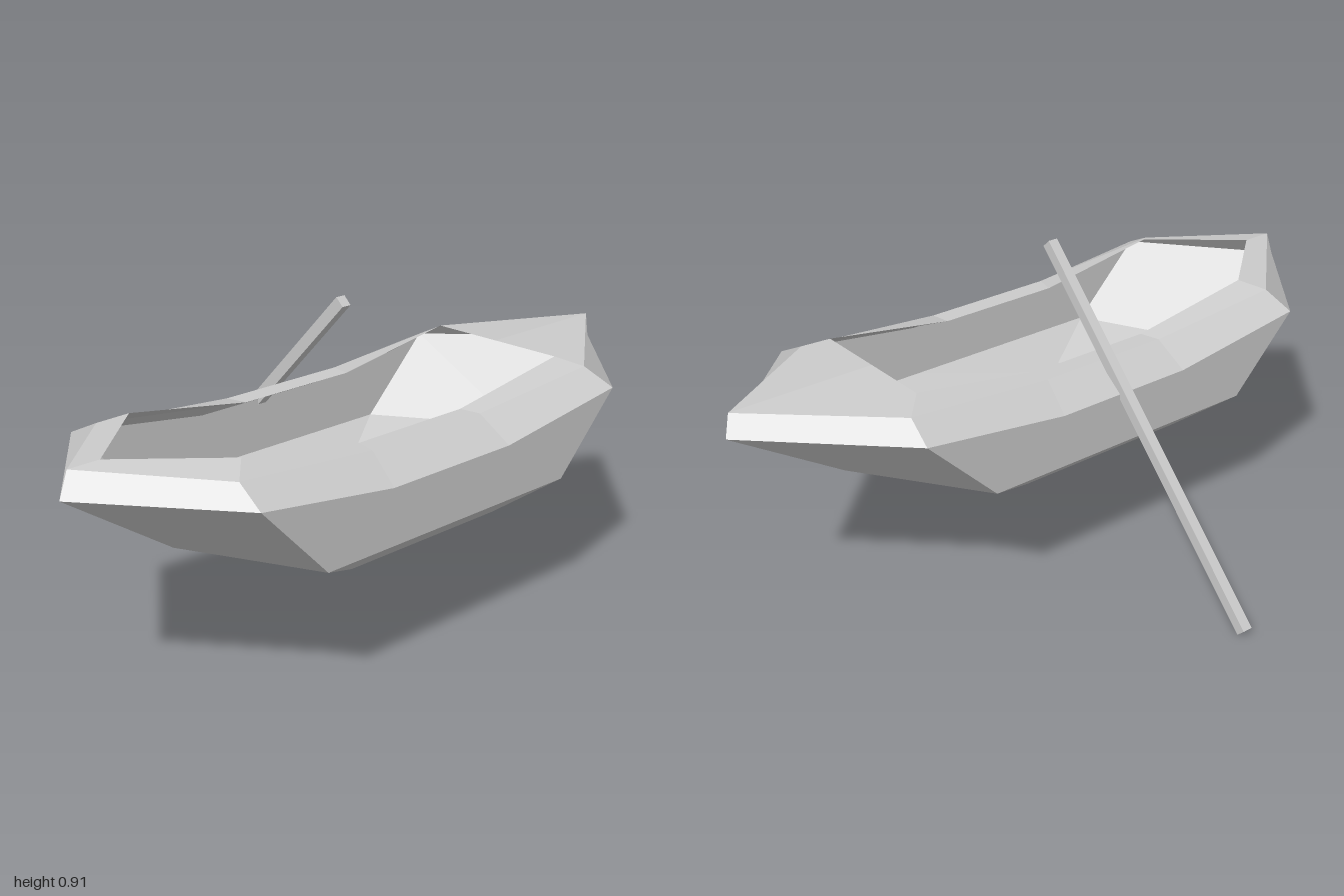
import * as THREE from 'three';

// The boat is a thin open shell, so it shows from inside as well
const shellMaterial = new THREE.MeshStandardMaterial({ color: 0xcccccc, side: THREE.DoubleSide });
const poleMaterial = new THREE.MeshStandardMaterial({ color: 0xcccccc });

// Ten-point boat outline: bow tip, four points down the +x side, stern tip, then mirrored.
// zs and ys run bow tip, shoulder, mid, mid, shoulder, stern tip.
function ring(w, zs, ys) {
  const side = zs.map((z, i) => new THREE.Vector3(i === 0 || i === 5 ? 0 : w, ys[i], z));
  const mirrored = side.slice(1, 5).reverse().map((p) => new THREE.Vector3(-p.x, p.y, p.z));
  return [...side, ...mirrored];
}

// One facet with a single normal, split along a-c or, if flipped, along b-d
function addQuad(out, a, b, c, d, flip = false) {
  const normal = c.clone().sub(a).cross(d.clone().sub(b)).normalize();
  const triangles = flip ? [[a, b, d], [b, c, d]] : [[a, b, c], [a, c, d]];
  for (const v of triangles.flat()) {
    out.positions.push(v.x, v.y, v.z);
    out.normals.push(normal.x, normal.y, normal.z);
  }
}

// Quads between two successive outlines, with diagonals mirrored side to side
function addBand(out, a, b) {
  for (let i = 0; i < 10; i++) {
    const j = (i + 1) % 10;
    addQuad(out, a[i], a[j], b[j], b[i], i % 5 >= 3);
  }
}

function makeMesh(name, build) {
  const out = { positions: [], normals: [] };
  build(out);
  const geometry = new THREE.BufferGeometry();
  geometry.setAttribute('position', new THREE.Float32BufferAttribute(out.positions, 3));
  geometry.setAttribute('normal', new THREE.Float32BufferAttribute(out.normals, 3));
  const mesh = new THREE.Mesh(geometry, shellMaterial);
  mesh.name = name;
  return mesh;
}

export function createModel() {
  const model = new THREE.Group();
  const flat = (y) => Array(6).fill(y);

  // Outlines from the bottom plate up to the opening
  const bottom = ring(0.275, [0.315, 0.315, 0.2, -0.12, -0.232, -0.232], flat(0.309));
  const chine = ring(0.37, [0.67, 0.49, 0.26, -0.17, -0.41, -0.66], flat(0.387));
  const wale = ring(0.37, [1, 0.705, 0.265, -0.175, -0.625, -1], [0.605, 0.605, 0.545, 0.545, 0.605, 0.605]);
  const rimOuter = ring(0.278, [0.975, 0.69, 0.25, -0.16, -0.61, -0.985], [0.678, 0.65, 0.615, 0.615, 0.65, 0.678]);
  const rimInner = ring(0.217, [0.88, 0.63, 0.235, -0.15, -0.55, -0.55], [0.678, 0.678, 0.615, 0.615, 0.678, 0.678]);

  const boat = new THREE.Group();
  boat.name = 'boat';
  boat.position.x = 0.263;

  // Hull shell with a flat bottom plate
  boat.add(makeMesh('hull', (out) => {
    addQuad(out, bottom[9], bottom[6], bottom[4], bottom[1]);
    addBand(out, bottom, chine);
    addBand(out, chine, wale);
  }));

  // Sloped gunwale, rim and stern deck
  boat.add(makeMesh('gunwaleAndDeck', (out) => {
    addBand(out, wale, rimOuter);
    addBand(out, rimOuter, rimInner);
  }));
  model.add(boat);

  // Square pole leaning across the side
  const low = new THREE.Vector2(-0.622, 0.012);
  const high = new THREE.Vector2(0.222, 0.898);
  const pole = new THREE.Mesh(new THREE.BoxGeometry(low.distanceTo(high), 0.033, 0.03), poleMaterial);
  pole.name = 'pole';
  pole.position.set((low.x + high.x) / 2, (low.y + high.y) / 2, 0.04);
  pole.rotation.z = high.clone().sub(low).angle();
  model.add(pole);

  return model;
}
